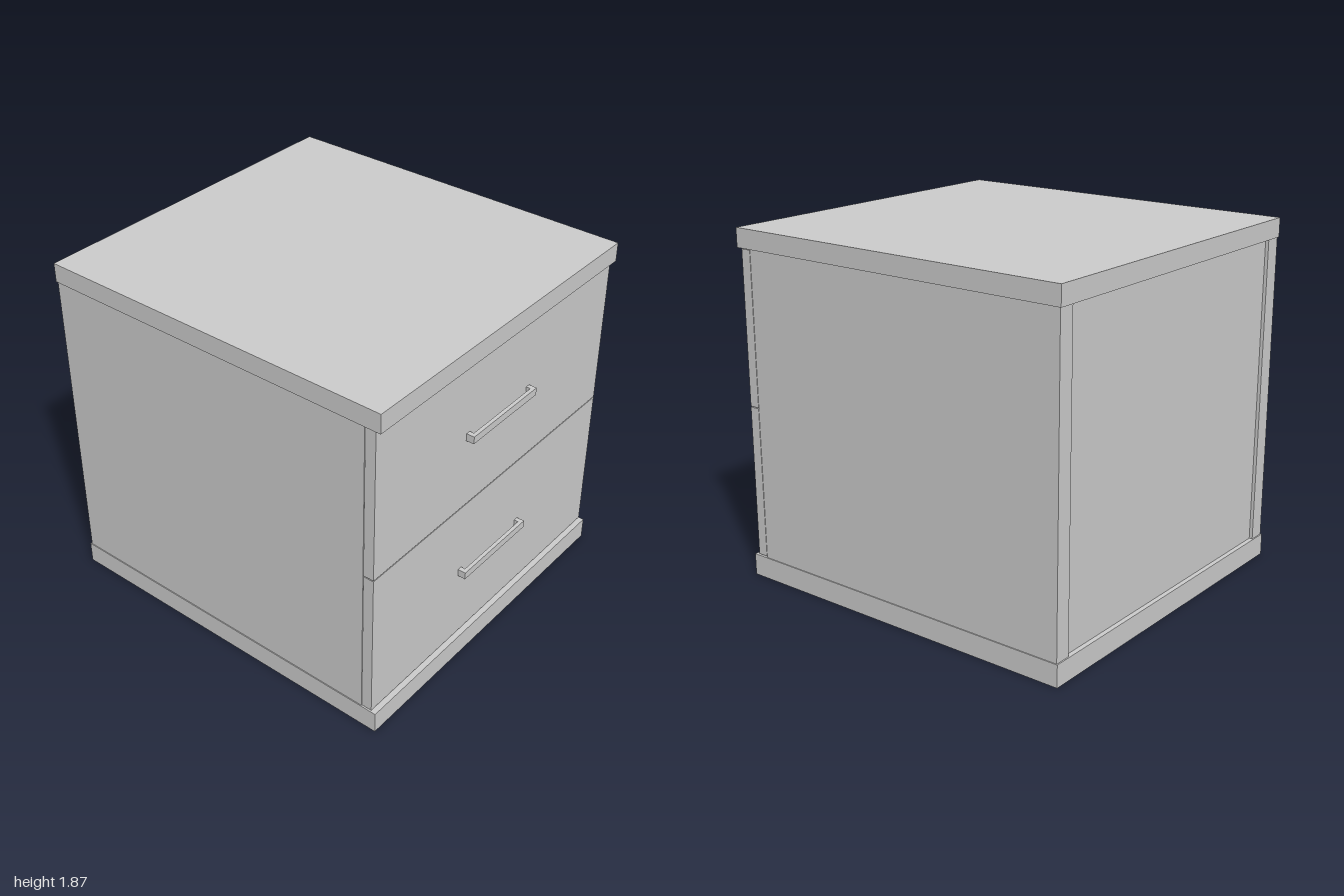
import * as THREE from 'three';

const grey = new THREE.MeshStandardMaterial({ color: 0xcccccc });
grey.name = 'light grey';

// Box given by its minimum and maximum corners
function slab(parent, name, [x0, y0, z0], [x1, y1, z1]) {
  const mesh = new THREE.Mesh(new THREE.BoxGeometry(x1 - x0, y1 - y0, z1 - z0), grey);
  mesh.position.set((x0 + x1) / 2, (y0 + y1) / 2, (z0 + z1) / 2);
  mesh.name = name;
  parent.add(mesh);
}

// Drawer front with a bracket handle
function makeDrawer(name, bottom, top, handleY) {
  const drawer = new THREE.Group();
  drawer.name = name;
  slab(drawer, 'drawerFront', [-0.94, bottom, 0.9], [0.94, top, 0.957]);

  const handle = new THREE.Group();
  handle.name = 'handle';
  const y0 = handleY - 0.02, y1 = handleY + 0.02;
  slab(handle, 'handleBar', [-0.26, y0, 0.98], [0.26, y1, 1]);
  slab(handle, 'handlePostRight', [-0.26, y0, 0.957], [-0.235, y1, 0.98]);
  slab(handle, 'handlePostLeft', [0.235, y0, 0.957], [0.26, y1, 0.98]);
  drawer.add(handle);
  return drawer;
}

export function createModel() {
  const cabinet = new THREE.Group();
  cabinet.name = 'drawerCabinet';

  // Base and top boards
  slab(cabinet, 'base', [-0.945, 0, -1], [0.945, 0.117, 0.985]);
  slab(cabinet, 'topBoard', [-0.945, 1.764, -1], [0.945, 1.865, 0.985]);

  // Side panels with a slightly recessed back between them
  slab(cabinet, 'sidePanelRight', [-0.94, 0.117, -0.993], [-0.85, 1.764, 0.897]);
  slab(cabinet, 'sidePanelLeft', [0.85, 0.117, -0.993], [0.94, 1.764, 0.897]);
  slab(cabinet, 'backPanel', [-0.85, 0.117, -0.975], [0.85, 1.764, -0.9]);

  // Two equal drawers
  cabinet.add(makeDrawer('lowerDrawer', 0.123, 0.939, 0.53));
  cabinet.add(makeDrawer('upperDrawer', 0.944, 1.76, 1.352));

  return cabinet;
}
